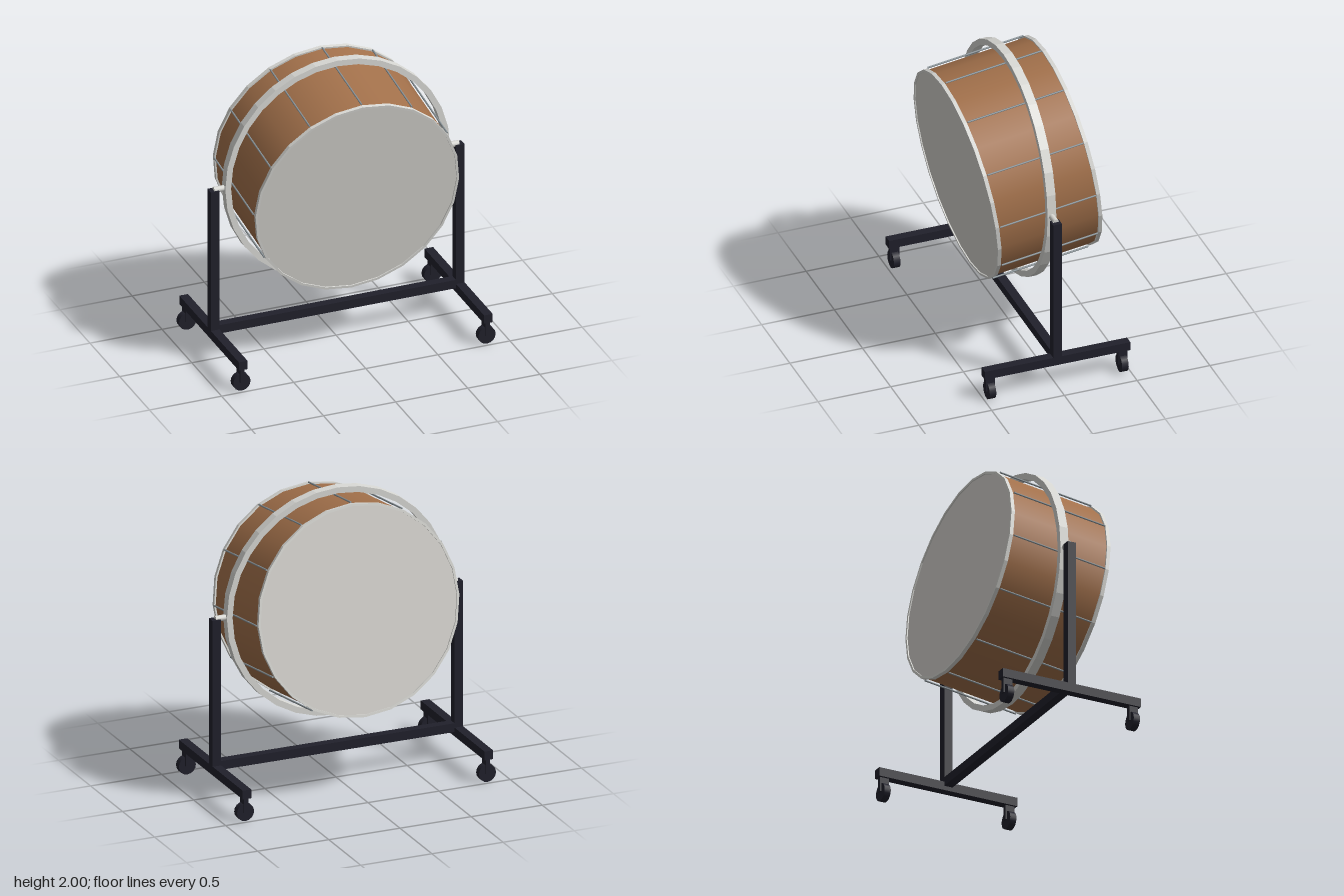
import * as THREE from 'three';
import { toCreasedNormals } from 'three/addons/utils/BufferGeometryUtils.js';

const material = (name, color, side = THREE.FrontSide) => {
  const m = new THREE.MeshStandardMaterial({ color, side });
  m.name = name;
  return m;
};

export function createModel() {
  const model = new THREE.Group();
  model.name = 'concertDrum';
  const wood = material('wood', 0xa3714b, THREE.DoubleSide);
  const skin = material('drumSkin', 0xd6d4cf);
  const silver = material('silver', 0xd8d8d4);
  const steel = material('rodSteel', 0x8a9499);
  const black = material('blackFrame', 0x20202b);

  const add = (parent, name, geometry, mat, x = 0, y = 0, z = 0) => {
    const mesh = new THREE.Mesh(geometry, mat);
    mesh.name = name;
    mesh.position.set(x, y, z);
    parent.add(mesh);
    return mesh;
  };
  const box = (parent, name, w, h, d, x, y, z) =>
    add(parent, name, new THREE.BoxGeometry(w, h, d), black, x, y, z);

  // Flat band around the z axis, centred on z = 0
  const band = (outer, inner, depth, sides) => {
    const shape = new THREE.Shape().absarc(0, 0, outer, 0, Math.PI * 2);
    shape.holes.push(new THREE.Path().absarc(0, 0, inner, 0, Math.PI * 2));
    const g = new THREE.ExtrudeGeometry(shape, { depth, bevelEnabled: false, curveSegments: sides / 2 });
    return toCreasedNormals(g.translate(0, 0, -depth / 2), 0.1);
  };

  // Tilted drum
  const centreY = 1.22;
  const drum = new THREE.Group();
  drum.name = 'drum';
  drum.position.y = centreY;
  drum.rotation.x = 0.14;
  model.add(drum);

  add(drum, 'shell', new THREE.CylinderGeometry(0.695, 0.695, 0.7, 24, 1, true).rotateX(Math.PI / 2), wood);
  for (const s of [1, -1]) {
    const head = add(drum, s > 0 ? 'frontHead' : 'backHead', new THREE.CircleGeometry(0.694, 24), skin, 0, 0, s * 0.355);
    if (s < 0) head.rotation.y = Math.PI;
    add(drum, s > 0 ? 'frontHoop' : 'backHoop', band(0.706, 0.69, 0.025, 24), silver, 0, 0, s * 0.35);
  }

  // Twelve tension rods
  const rod = new THREE.CylinderGeometry(0.006, 0.006, 0.665, 8).rotateX(Math.PI / 2);
  for (let i = 0; i < 12; i++) {
    const a = (i * Math.PI) / 6;
    add(drum, 'tensionRod', rod, steel, 0.709 * Math.sin(a), 0.709 * Math.cos(a), 0);
  }

  // Upright suspension ring
  add(model, 'suspensionRing', band(0.78, 0.74, 0.06, 32), silver, 0, centreY, 0);

  // Stand with two sides, pivots and casters
  const stand = new THREE.Group();
  stand.name = 'stand';
  model.add(stand);
  box(stand, 'crossbar', 1.7, 0.06, 0.06, 0, 0.22, 0);
  const pin = new THREE.CylinderGeometry(0.02, 0.02, 0.1, 12).rotateZ(Math.PI / 2);
  const wheel = new THREE.CylinderGeometry(0.06, 0.06, 0.045, 16).rotateX(Math.PI / 2);
  for (const s of [1, -1]) {
    const x = s * 0.85;
    box(stand, 'post', 0.06, 1.02, 0.06, x, 0.71, 0);
    box(stand, 'foot', 0.06, 0.06, 1, x, 0.19, 0);
    add(stand, 'pivotPin', pin, silver, s * 0.8, centreY, 0);
    for (const z of [0.455, -0.455]) {
      box(stand, 'casterFork', 0.03, 0.1, 0.064, x, 0.11, z);
      add(stand, 'casterWheel', wheel, black, x, 0.06, z);
    }
  }
  return model;
}
